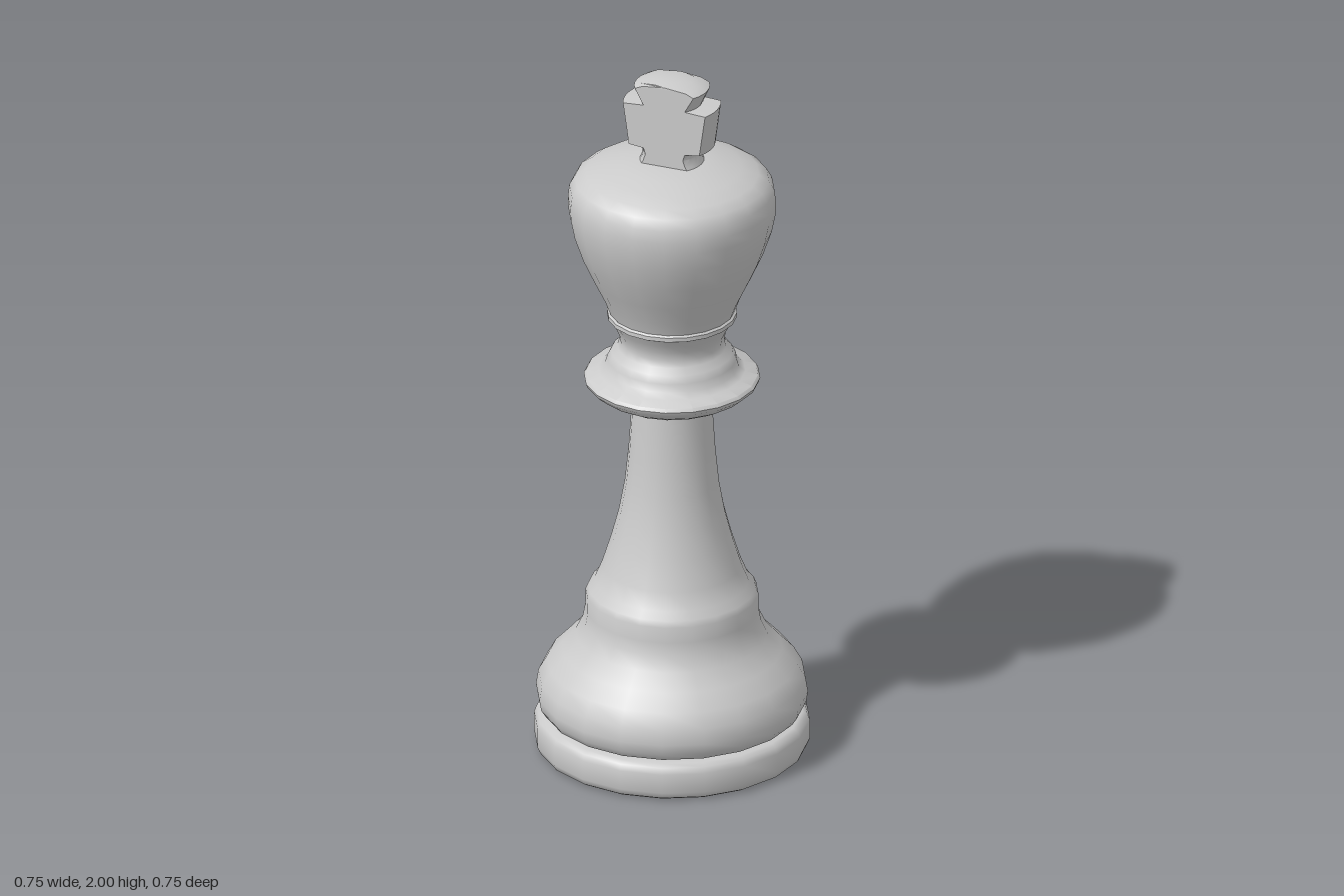
import * as THREE from 'three';
import { toCreasedNormals } from 'three/addons/utils/BufferGeometryUtils.js';

const SIDES = 20;
const material = new THREE.MeshStandardMaterial({ color: 0xcccccc });

function addMesh(group, name, geometry, crease) {
  const mesh = new THREE.Mesh(toCreasedNormals(geometry, crease), material);
  mesh.name = name;
  group.add(mesh);
}

// Turned part from [radius, height] pairs, bottom to top
function turned(group, name, profile) {
  const points = profile.map(([r, y]) => new THREE.Vector2(r, y));
  addMesh(group, name, new THREE.LatheGeometry(points, SIDES), 0.7);
}

// Turned solid cut down to a slab of half thickness t in z
function slabLathe(profile, t, steps) {
  const pos = [], index = [], n = 2 * (steps + 1);
  for (const [r, y] of profile) {
    const half = r > t ? Math.asin(t / r) : Math.PI / 2;
    for (const turn of [0, Math.PI]) {
      for (let k = 0; k <= steps; k++) {
        const a = turn - half + (2 * half * k) / steps;
        pos.push(r * Math.cos(a), y, r * Math.sin(a));
      }
    }
  }
  for (let i = 0; i < profile.length - 1; i++) {
    for (let j = 0; j < n; j++) {
      const a = i * n + j, b = i * n + ((j + 1) % n);
      index.push(a, a + n, b, b, a + n, b + n);
    }
  }
  const geometry = new THREE.BufferGeometry();
  geometry.setAttribute('position', new THREE.Float32BufferAttribute(pos, 3));
  geometry.setIndex(index);
  return geometry;
}

export function createModel() {
  const group = new THREE.Group();
  group.name = 'chessKing';

  // Flat foot disc with rounded rims
  turned(group, 'foot', [
    [0, 0], [0.355, 0], [0.368, 0.008], [0.375, 0.025], [0.375, 0.08],
    [0.368, 0.097], [0.355, 0.105], [0.335, 0.107],
  ]);

  // Bell-shaped base, step and tapering stem
  turned(group, 'bellAndStem', [
    [0.335, 0.107], [0.352, 0.115], [0.365, 0.135], [0.37, 0.165], [0.363, 0.207],
    [0.34, 0.248], [0.3, 0.29], [0.262, 0.333], [0.242, 0.375], [0.236, 0.41],
    [0.235, 0.455], [0.228, 0.472], [0.21, 0.492], [0.19, 0.54], [0.165, 0.62],
    [0.144, 0.7], [0.128, 0.79], [0.118, 0.89], [0.109, 1.03],
  ]);

  // Flared collar and neck
  turned(group, 'collar', [
    [0.109, 1.03], [0.135, 1.04], [0.18, 1.055], [0.212, 1.073], [0.236, 1.094],
    [0.24, 1.105], [0.234, 1.114], [0.2, 1.124], [0.182, 1.138], [0.176, 1.16],
    [0.166, 1.18], [0.148, 1.196], [0.142, 1.215], [0.146, 1.24], [0.158, 1.265],
    [0.168, 1.283],
  ]);

  // Bulbous head with a small rim below and a low crown
  turned(group, 'head', [
    [0.168, 1.283], [0.177, 1.288], [0.177, 1.3], [0.171, 1.305], [0.186, 1.345],
    [0.215, 1.405], [0.247, 1.475], [0.271, 1.545], [0.282, 1.6], [0.283, 1.635],
    [0.279, 1.67], [0.264, 1.697], [0.236, 1.716], [0.19, 1.733], [0.14, 1.747],
    [0.092, 1.757], [0, 1.757],
  ]);

  // Cross finial with curved ends and flat front and back
  addMesh(group, 'cross', slabLathe([
    [0.09, 1.752], [0.084, 1.765], [0.079, 1.785], [0.083, 1.803], [0.118, 1.808],
    [0.133, 1.928], [0.083, 1.932], [0.103, 1.978], [0.085, 1.988],
    [0.057, 1.995], [0.03, 1.999], [0, 2],
  ], 0.057, 6), 0.5);

  return group;
}
